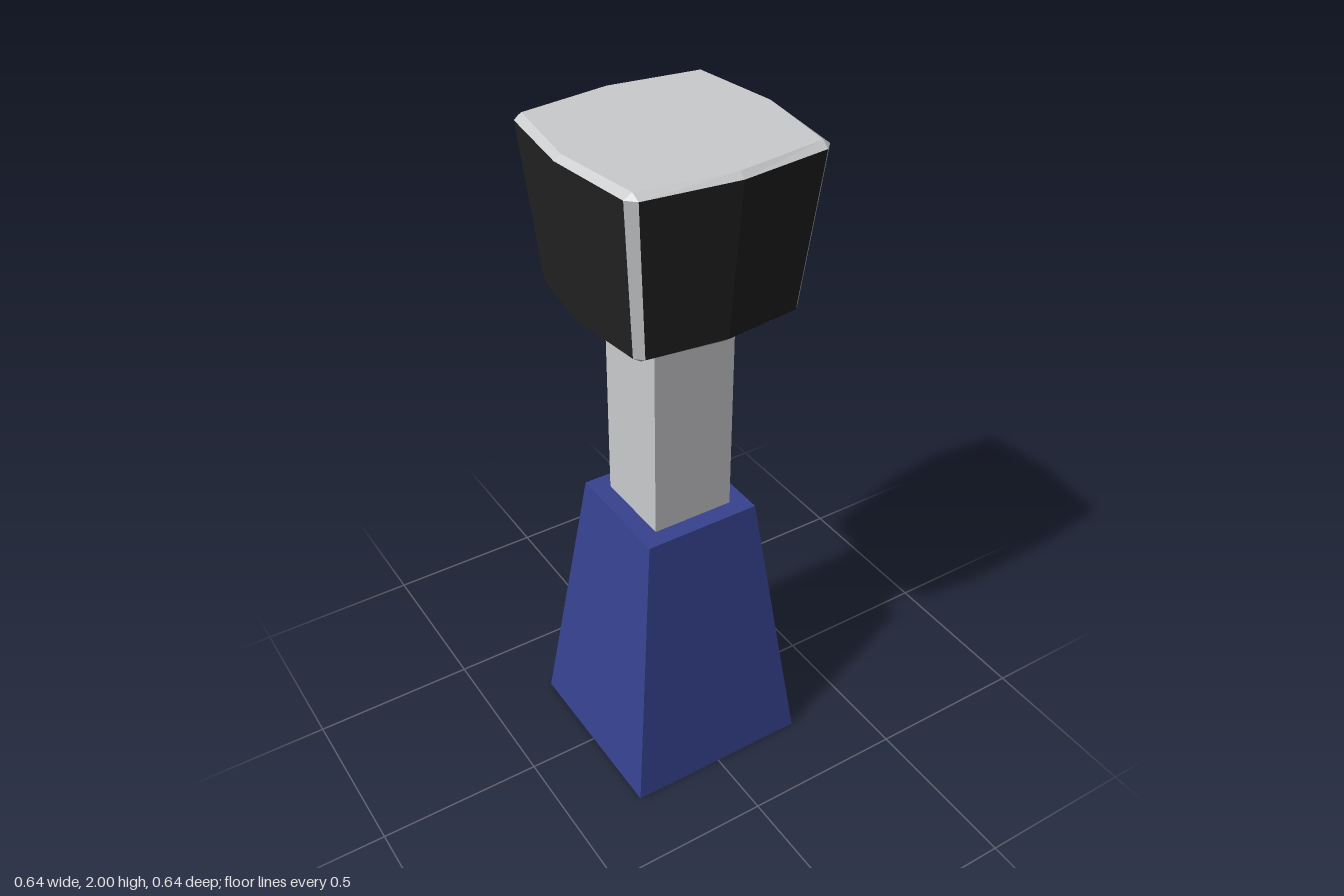
import * as THREE from 'three';

const grey = new THREE.MeshStandardMaterial({ name: 'light grey', color: 0xcacbcd, flatShading: true });
const blue = new THREE.MeshStandardMaterial({ name: 'blue', color: 0x36428f, flatShading: true });
const black = new THREE.MeshStandardMaterial({ name: 'black', color: 0x222222, flatShading: true });

// Square block with separate half widths at the top and bottom
function block(name, topHalf, bottomHalf, y0, y1, material) {
  const geo = new THREE.CylinderGeometry(topHalf * Math.SQRT2, bottomHalf * Math.SQRT2, y1 - y0, 4);
  geo.rotateY(Math.PI / 4);
  const mesh = new THREE.Mesh(geo, material);
  mesh.name = name;
  mesh.position.y = (y0 + y1) / 2;
  return mesh;
}

// Twelve-point ring: bulged side middles and clipped corners
function ring(y, middle, near, far) {
  const points = [];
  for (let q = 0; q < 4; q++) {
    for (let [x, z] of [[0, middle], [near, far], [far, near]]) {
      for (let k = 0; k < q; k++) [x, z] = [z, -x];
      points.push([x, y, z]);
    }
  }
  return points;
}

function meshFrom(name, positions, material) {
  const geo = new THREE.BufferGeometry();
  geo.setAttribute('position', new THREE.Float32BufferAttribute(positions, 3));
  geo.computeVertexNormals();
  const mesh = new THREE.Mesh(geo, material);
  mesh.name = name;
  return mesh;
}

function createHead() {
  const rings = [
    ring(1.525, 0.257, 0.226, 0.226),
    ring(1.54, 0.275, 0.226, 0.248),
    ring(1.985, 0.318, 0.262, 0.287),
    ring(2.0, 0.3, 0.264, 0.264),
  ];
  const shell = [], panels = [];
  for (let i = 0; i < 12; i++) {
    const j = (i + 1) % 12;
    for (let r = 0; r < 3; r++) {
      const a = rings[r][i], b = rings[r][j], c = rings[r + 1][j], d = rings[r + 1][i];
      const target = r === 1 && i % 3 !== 1 ? panels : shell;
      // Where the bevel ends in a point, only one triangle is needed
      if (a[0] !== b[0] || a[2] !== b[2]) target.push(...a, ...b, ...c);
      if (c[0] !== d[0] || c[2] !== d[2]) target.push(...a, ...c, ...d);
    }
    // Flat top and underside
    shell.push(0, 2.0, 0, ...rings[3][i], ...rings[3][j]);
    shell.push(0, 1.525, 0, ...rings[0][j], ...rings[0][i]);
  }
  const head = new THREE.Group();
  head.name = 'head';
  head.add(meshFrom('headFrame', shell, grey), meshFrom('headSidePanels', panels, black));
  return head;
}

export function createModel() {
  const model = new THREE.Group();
  model.name = 'post';
  model.add(
    block('taperedBase', 0.178, 0.285, 0, 0.87, blue),
    block('squareColumn', 0.125, 0.125, 0.86, 1.53, grey),
    createHead(),
  );
  return model;
}
